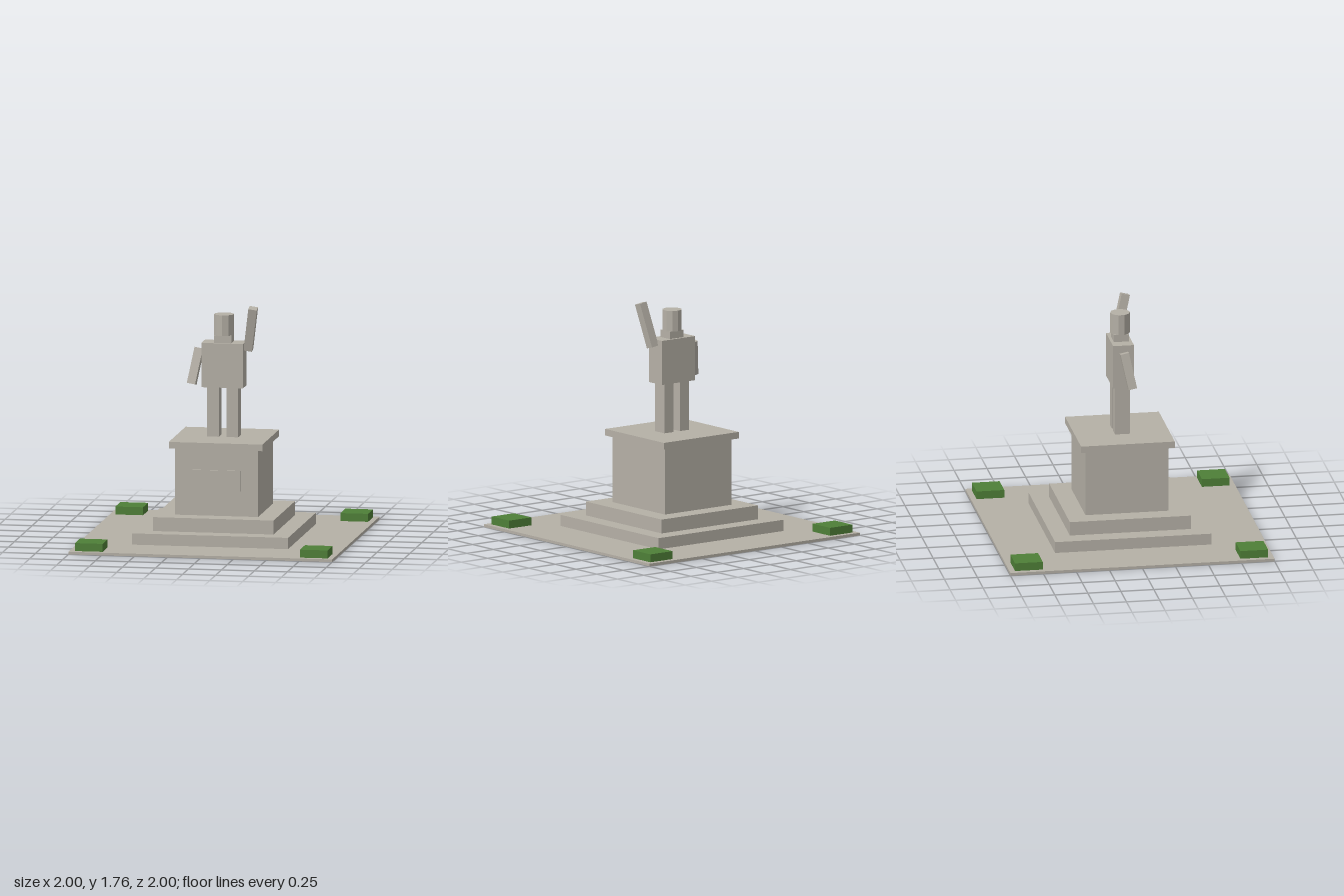
import * as THREE from 'three';

export function createModel() {
  const model = new THREE.Group();
  model.name = 'plazaStatue';

  const stone = new THREE.MeshStandardMaterial({ color: 0xb5b0a6 });
  stone.name = 'stone';
  const hedgeGreen = new THREE.MeshStandardMaterial({ color: 0x4e7f37 });
  hedgeGreen.name = 'hedgeGreen';

  const add = (name, geometry, material, parent, x, y, z) => {
    const mesh = new THREE.Mesh(geometry, material);
    mesh.name = name;
    mesh.position.set(x, y, z);
    parent.add(mesh);
    return mesh;
  };

  // Box standing on y0 and reaching y1
  const block = (name, parent, w, d, y0, y1, x = 0, z = 0, material = stone) =>
    add(name, new THREE.BoxGeometry(w, y1 - y0, d), material, parent, x, (y0 + y1) / 2, z);

  // Plaza floor and stepped pedestal
  const pedestal = new THREE.Group();
  pedestal.name = 'pedestal';
  model.add(pedestal);
  block('plazaFloor', pedestal, 2, 2, 0, 0.02);
  block('lowerStep', pedestal, 1.184, 1.184, 0.02, 0.105);
  block('upperStep', pedestal, 0.915, 0.915, 0.105, 0.21);
  block('plinth', pedestal, 0.63, 0.63, 0.21, 0.715);
  block('plinthCap', pedestal, 0.71, 0.71, 0.715, 0.765);
  block('plaque', pedestal, 0.37, 0.02, 0.4, 0.555, 0, 0.316);

  // Corner hedges
  for (const sx of [-1, 1]) {
    for (const sz of [-1, 1]) {
      block('hedge', model, 0.21, 0.21, 0.02, 0.08, sx * 0.853, sz * 0.853, hedgeGreen);
    }
  }

  // Standing figure
  const figure = new THREE.Group();
  figure.name = 'figure';
  model.add(figure);
  block('rightLeg', figure, 0.088, 0.114, 0.765, 1.14, -0.073);
  block('leftLeg', figure, 0.088, 0.114, 0.765, 1.14, 0.073);
  block('torso', figure, 0.316, 0.158, 1.14, 1.475);
  block('neck', figure, 0.132, 0.114, 1.475, 1.53);

  // Ten-sided head with flat facets
  const headGeometry = new THREE.CylinderGeometry(0.075, 0.075, 0.156, 10).toNonIndexed();
  headGeometry.computeVertexNormals();
  add('head', headGeometry, stone, figure, 0, 1.608, 0);

  // Left arm raised, right arm lowered, both tilted forward
  const leftArm = add('raisedLeftArm', new THREE.BoxGeometry(0.064, 0.34, 0.064), stone, figure, 0.21, 1.585, 0.038);
  leftArm.rotation.set(0.24, 0, -0.15);
  const rightArm = add('loweredRightArm', new THREE.BoxGeometry(0.064, 0.275, 0.064), stone, figure, -0.211, 1.292, 0.027);
  rightArm.rotation.set(-0.2, 0, -0.18);

  return model;
}
